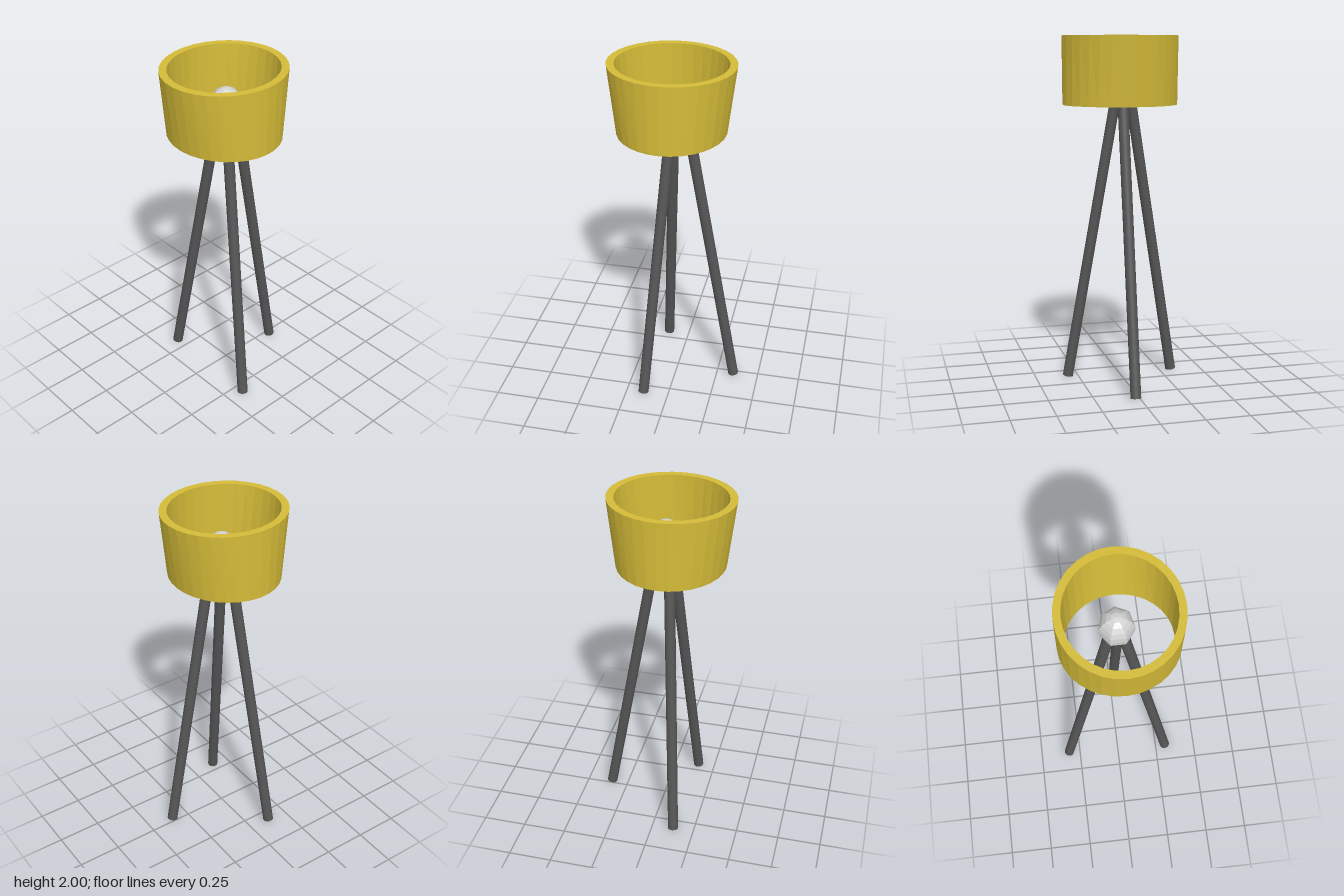
import * as THREE from 'three';

const shadeMat = new THREE.MeshStandardMaterial({ color: 0xd4bb38, flatShading: true });
shadeMat.name = 'mustard shade';
const legMat = new THREE.MeshStandardMaterial({ color: 0x555555 });
legMat.name = 'dark grey legs';
const bulbMat = new THREE.MeshStandardMaterial({ color: 0xd2d2d2, flatShading: true });
bulbMat.name = 'pale grey bulb';

// Round rod between two points
function rod(from, to, radius) {
  const dir = to.clone().sub(from);
  const mesh = new THREE.Mesh(new THREE.CylinderGeometry(radius, radius, dir.length(), 24), legMat);
  mesh.position.copy(from).addScaledVector(dir, 0.5);
  mesh.quaternion.setFromUnitVectors(new THREE.Vector3(0, 1, 0), dir.normalize());
  return mesh;
}

// Thick open ring: constant width, with its depth flaring towards the top
function makeShade() {
  const bottom = 1.615, top = 2, inner = 0.287, outer = 0.327;
  const profile = [[inner, bottom], [outer, bottom], [outer, top], [inner, top], [inner, bottom]]
    .map(([r, y]) => new THREE.Vector2(r, y));
  const geo = new THREE.LatheGeometry(profile, 32);
  const pos = geo.attributes.position;
  for (let i = 0; i < pos.count; i++) {
    const t = (pos.getY(i) - bottom) / (top - bottom);
    pos.setZ(i, pos.getZ(i) * THREE.MathUtils.lerp(0.925, 1.07, t));
  }
  geo.computeVertexNormals();
  const mesh = new THREE.Mesh(geo, shadeMat);
  mesh.position.set(0.018, 0, 0.031);
  mesh.name = 'shade';
  return mesh;
}

export function createModel() {
  const model = new THREE.Group();
  model.name = 'tripodLamp';
  model.add(makeShade());

  // Seven-sided bulb
  const bulb = new THREE.Mesh(new THREE.SphereGeometry(1, 7, 10, -Math.PI / 2), bulbMat);
  bulb.scale.set(0.098, 0.12, 0.1);
  bulb.position.set(0.005, 1.75, 0.005);
  bulb.name = 'bulb';
  model.add(bulb);

  // Splayed legs: foot x, foot z, top x, top z
  const legs = {
    rightLeg: [-0.32, 0.127, -0.035, 0.03],
    leftLeg: [0.31, 0.148, 0.035, 0.03],
    backLeg: [0.025, -0.35, 0.025, -0.05],
  };
  for (const [name, [fx, fz, tx, tz]] of Object.entries(legs)) {
    const leg = rod(new THREE.Vector3(fx, 0.006, fz), new THREE.Vector3(tx, 1.7, tz), 0.03);
    leg.name = name;
    model.add(leg);
  }
  return model;
}
